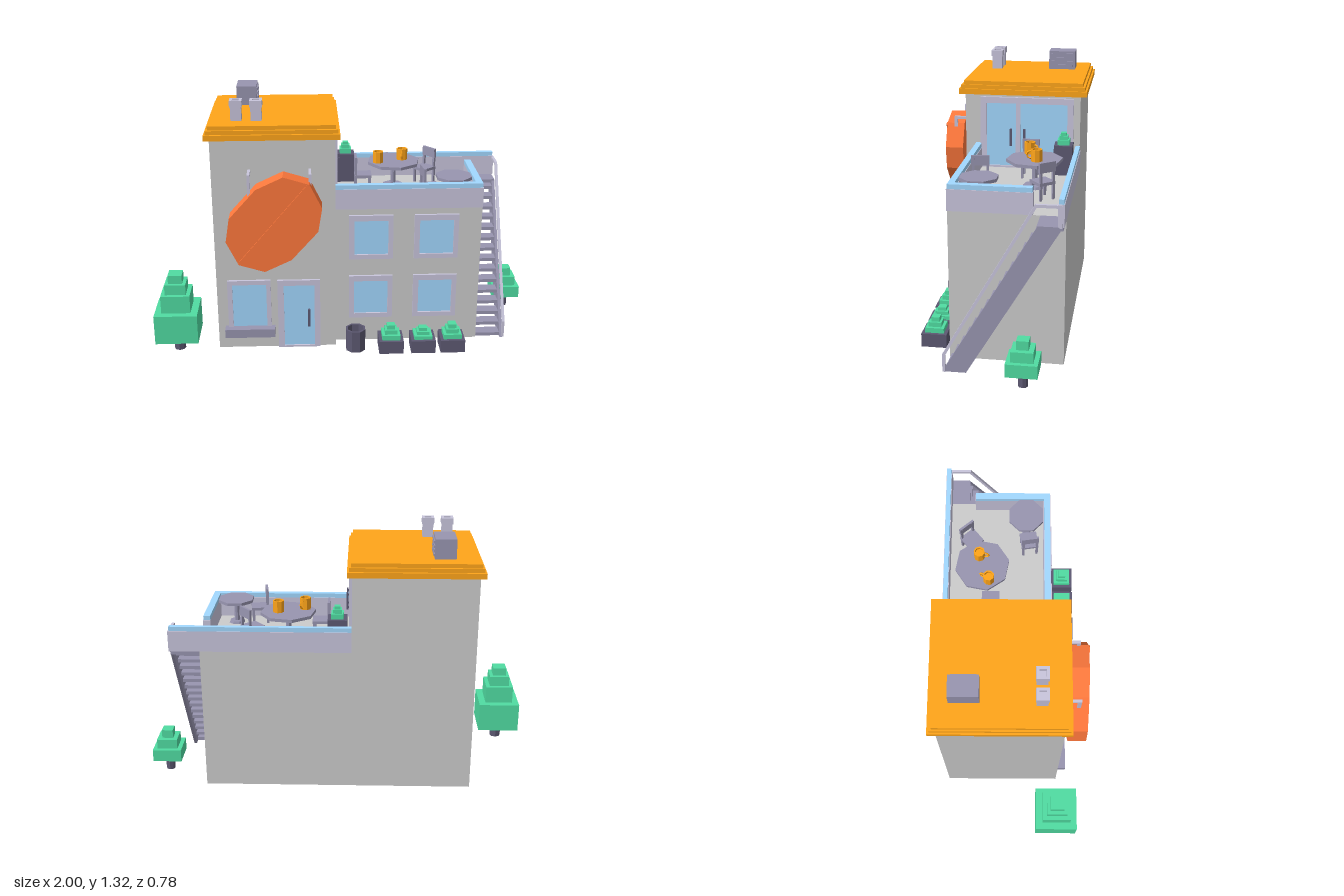
import * as THREE from 'three';

const mat = (color) => new THREE.MeshStandardMaterial({ color, flatShading: true });
const GREY = mat(0xcccccc), ORANGE = mat(0xffa51a), SIGN = mat(0xff783c), GREEN = mat(0x50dca2);
const BLUE = mat(0xa2d8ff), PURPLE = mat(0x9895b0), LAVENDER = mat(0xc8c5dc), DARK = mat(0x5d5972);

function add(parent, name, geometry, material, x = 0, y = 0, z = 0) {
  const mesh = new THREE.Mesh(geometry, material);
  mesh.name = name;
  mesh.position.set(x, y, z);
  parent.add(mesh);
  return mesh;
}

function group(parent, name, x = 0, y = 0, z = 0, ry = 0) {
  const g = new THREE.Group();
  g.name = name;
  g.position.set(x, y, z);
  g.rotation.y = ry;
  parent.add(g);
  return g;
}

// Box given by its extents on each axis
function box(parent, name, material, [x0, x1], [y0, y1], [z0, z1]) {
  return add(parent, name, new THREE.BoxGeometry(x1 - x0, y1 - y0, z1 - z0), material,
    (x0 + x1) / 2, (y0 + y1) / 2, (z0 + z1) / 2);
}

// Square bar between two points
function bar(parent, name, a, b, t, material) {
  const p = new THREE.Vector3(...a), d = new THREE.Vector3(...b).sub(p);
  const m = add(parent, name, new THREE.BoxGeometry(t, t, d.length() + t * 0.6), material);
  m.position.copy(p).addScaledVector(d, 0.5);
  m.quaternion.setFromUnitVectors(new THREE.Vector3(0, 0, 1), d.normalize());
  return m;
}

const poly = (pts) => new THREE.Shape(pts.map(([x, y]) => new THREE.Vector2(x, y)));
const rect = (x0, x1, y0, y1) => [[x0, y0], [x1, y0], [x1, y1], [x0, y1]];
const extrude = (shape, depth) => new THREE.ExtrudeGeometry(shape, { depth, bevelEnabled: false });

// Frame with a recessed pane, facing local +z; outer and inner are [x0, x1, y0, y1]
function pane(parent, name, outer, inner) {
  const g = group(parent, name);
  const shape = poly(rect(...outer));
  shape.holes.push(poly(rect(...inner)));
  add(g, 'frame', extrude(shape, 0.014), LAVENDER);
  box(g, 'glass', BLUE, inner.slice(0, 2), inner.slice(2), [0, 0.005]);
  return g;
}

function handle(parent, x, y0, y1) {
  const g = group(parent, 'doorHandle');
  box(g, 'grip', DARK, [x - 0.006, x + 0.006], [y0, y1], [0.022, 0.032]);
  for (const y of [y0 + 0.012, y1 - 0.012]) {
    box(g, 'mount', DARK, [x - 0.004, x + 0.004], [y - 0.005, y + 0.005], [0, 0.024]);
  }
}

// Stacked square foliage; tiers are [width, top]
function foliage(parent, base, tiers) {
  let y = base;
  for (const [w, top] of tiers) {
    box(parent, 'foliage', GREEN, [-w / 2, w / 2], [y, top], [-w / 2, w / 2]);
    y = top;
  }
}

function tree(parent, x, z, r, base, tiers) {
  const g = group(parent, 'tree', x, 0, z);
  add(g, 'trunk', new THREE.CylinderGeometry(r, r, base, 8), DARK, 0, base / 2, 0);
  foliage(g, base, tiers);
}

function planter(parent, x, y, z, w, h, tiers) {
  const g = group(parent, 'planter', x, y, z);
  box(g, 'pot', DARK, [-w / 2, w / 2], [0, h], [-w / 2, w / 2]);
  foliage(g, h, tiers);
}

function table(parent, x, z, r, h, ry) {
  const g = group(parent, 'table', x, 0.755, z, ry);
  add(g, 'tableTop', new THREE.CylinderGeometry(r, r, 0.016, 8), PURPLE, 0, h - 0.008, 0);
  add(g, 'tableStem', new THREE.CylinderGeometry(0.014, 0.014, h - 0.01, 8), PURPLE, 0, h / 2 - 0.005, 0);
  add(g, 'tableFoot', new THREE.CylinderGeometry(r * 0.4, r * 0.45, 0.012, 8), PURPLE, 0, 0.006, 0);
}

// Chair facing local +x
function chair(parent, x, z, ry) {
  const g = group(parent, 'chair', x, 0.755, z, ry);
  box(g, 'seat', PURPLE, [-0.045, 0.045], [0.075, 0.09], [-0.045, 0.045]);
  for (const s of [-1, 1]) {
    const zz = [s * 0.036 - 0.006, s * 0.036 + 0.006];
    box(g, 'frontLeg', PURPLE, [0.03, 0.042], [0, 0.08], zz);
    box(g, 'backLeg', PURPLE, [-0.045, -0.033], [0, 0.185], zz);
  }
  box(g, 'backRest', PURPLE, [-0.046, -0.034], [0.14, 0.19], [-0.045, 0.045]);
}

function mug(parent, x, z, ry) {
  const g = group(parent, 'mug', x, 0.903, z, ry);
  const wall = [[0, 0], [0.029, 0], [0.029, 0.06], [0.022, 0.06], [0.022, 0.045], [0, 0.045]];
  add(g, 'cup', new THREE.LatheGeometry(wall.map((p) => new THREE.Vector2(...p)), 8), ORANGE);
  add(g, 'mugHandle', new THREE.TorusGeometry(0.018, 0.005, 4, 8), ORANGE, 0.032, 0.03, 0);
}

export function createModel() {
  const model = new THREE.Group();
  model.name = 'cafeBuilding';

  // Main volumes
  box(model, 'tower', GREY, [-0.68, -0.06], [0, 1.155], [-0.355, 0.256]);
  box(model, 'wing', GREY, [-0.06, 0.7], [0, 0.755], [-0.355, 0.202]);
  box(model, 'roofLower', ORANGE, [-0.705, -0.036], [1.152, 1.18], [-0.388, 0.288]);
  box(model, 'roofMiddle', ORANGE, [-0.695, -0.046], [1.18, 1.2], [-0.377, 0.277]);
  box(model, 'roofUpper', ORANGE, [-0.685, -0.056], [1.2, 1.22], [-0.365, 0.264]);

  // Parapet walls with blue caps
  const walls = [[[-0.06, 0.7], [0.168, 0.205]], [[0.664, 0.702], [-0.2, 0.205]], [[-0.06, 0.85], [-0.36, -0.33]]];
  for (const [xs, zs] of walls) {
    box(model, 'parapet', LAVENDER, xs, [0.755, 0.862], zs);
    box(model, 'parapetCap', BLUE, [xs[0], xs[1] - 0.003], [0.862, 0.885], [zs[0] + 0.003, zs[1] - 0.003]);
  }

  // Wing windows
  const wingFront = group(model, 'wingFront', 0, 0, 0.202);
  for (const x of [0.01, 0.35]) for (const y of [0.14, 0.48]) {
    pane(wingFront, 'window', [x, x + 0.23, y, y + 0.243], [x + 0.028, x + 0.205, y + 0.025, y + 0.213]);
  }

  // Tower front window and door
  const towerFront = group(model, 'towerFront', 0, 0, 0.256);
  pane(towerFront, 'shopWindow', [-0.625, -0.4, 0.1, 0.392], [-0.6, -0.423, 0.12, 0.368]);
  box(towerFront, 'windowSill', PURPLE, [-0.643, -0.382], [0.08, 0.127], [0, 0.05]);
  pane(towerFront, 'frontDoor', [-0.365, -0.143, 0, 0.39], [-0.333, -0.173, 0.01, 0.36]);
  handle(towerFront, -0.202, 0.13, 0.228);

  // Terrace double door on the tower's side
  const terraceDoor = group(model, 'terraceDoor', -0.06, 0, 0, Math.PI / 2);
  pane(terraceDoor, 'doubleDoor', [-0.175, 0.32, 0.755, 1.138], [-0.142, 0.288, 0.765, 1.106]);
  box(terraceDoor, 'mullion', LAVENDER, [0.014, 0.038], [0.765, 1.106], [0, 0.01]);
  handle(terraceDoor, -0.01, 0.88, 0.972);
  handle(terraceDoor, 0.062, 0.88, 0.972);

  // Hanging sign: a stretched ten-sided slab, symmetric about its middle
  const sign = group(model, 'hangingSign', -0.37, 0.745, 0.29);
  const half = [[0.05, 0.25], [-0.085, 0.187], [-0.22, 0.037], [-0.24, -0.086], [-0.18, -0.21]];
  add(sign, 'signBoard', extrude(poly([...half, ...half.map(([x, y]) => [-x, -y])]), 0.096), SIGN);
  const ridge = add(sign, 'signRidge', new THREE.BoxGeometry(0.54, 0.02, 0.012), SIGN, 0, 0, 0.096);
  ridge.rotation.z = Math.atan2(0.21, 0.18);
  for (const [x, y] of [[-0.49, 0.84], [-0.188, 0.935]]) {
    box(model, 'signBracketArm', LAVENDER, [x - 0.007, x + 0.007], [0.98, 0.995], [0.256, 0.345]);
    box(model, 'signBracketDrop', LAVENDER, [x - 0.007, x + 0.007], [y, 0.985], [0.327, 0.345]);
  }

  // Chimneys and vent unit
  for (const x of [-0.55, -0.45]) {
    const c = group(model, 'chimney', x, 1.22, 0.145);
    box(c, 'stack', LAVENDER, [-0.027, 0.027], [0, 0.075], [-0.027, 0.027]);
    const cap = poly(rect(-0.031, 0.031, -0.031, 0.031));
    cap.holes.push(poly(rect(-0.017, 0.017, -0.017, 0.017)));
    add(c, 'chimneyCap', extrude(cap, 0.033), LAVENDER, 0, 0.07, 0).rotation.x = -Math.PI / 2;
  }
  box(model, 'ventUnit', PURPLE, [-0.565, -0.46], [1.22, 1.32], [-0.29, -0.145]);
  for (let i = 0; i < 4; i++) {
    const y = 1.233 + i * 0.021;
    box(model, 'ventSlat', PURPLE, [-0.462, -0.454], [y, y + 0.012], [-0.278, -0.157]);
  }

  // Outside stair: treads, landing, stringer and handrail
  const stair = group(model, 'outsideStair');
  for (let i = 0; i < 15; i++) {
    const y = 0.02 + i * 0.05, z = 0.205 - y * 0.595;
    box(stair, 'tread', PURPLE, [0.7, 0.835], [y - 0.018, y], [z - 0.065, z]);
  }
  box(stair, 'landing', PURPLE, [0.7, 0.845], [0.737, 0.755], [-0.355, -0.235]);
  const side = add(stair, 'stringer', extrude(poly([[-0.21, 0], [-0.095, 0], [0.354, 0.755], [0.24, 0.755]]), 0.015), PURPLE, 0.832, 0, 0);
  side.rotation.y = Math.PI / 2;
  const rail = [[0.2, 0], [0.2, 0.09], [-0.232, 0.852], [-0.345, 0.852], [-0.345, 0.755]];
  for (let i = 1; i < rail.length; i++) {
    const [a, b] = [rail[i - 1], rail[i]];
    bar(stair, 'handrail', [0.848, a[1] + (i === 1 ? 0.006 : 0), a[0]], [0.848, b[1], b[0]], 0.014, LAVENDER);
  }

  // Terrace furniture
  table(model, 0.268, -0.155, 0.143, 0.148, 0.2);
  table(model, 0.565, 0.075, 0.097, 0.135, 0.4);
  chair(model, 0.1, -0.11, 0);
  chair(model, 0.445, -0.215, Math.PI * 1.22);
  chair(model, 0.44, 0.09, 0.15);
  mug(model, 0.182, -0.12, 1.1);
  mug(model, 0.316, -0.17, -1.7);

  // Plants and bin
  planter(model, 0.012, 0.755, -0.277, 0.096, 0.158, [[0.062, 0.185], [0.045, 0.205], [0.03, 0.22]]);
  [0.228, 0.397, 0.552].forEach((x, i) => {
    const k = i === 1 ? 0.75 : 1;
    planter(model, x, 0, 0.302, 0.128, 0.07,
      [[0.095, 0.07 + 0.026 * k], [0.065, 0.07 + 0.05 * k], [0.042, 0.07 + 0.073 * k]]);
  });
  tree(model, -0.89, 0.248, 0.03, 0.082, [[0.222, 0.24], [0.15, 0.335], [0.108, 0.39], [0.072, 0.435]]);
  tree(model, 0.925, -0.188, 0.024, 0.078, [[0.15, 0.143], [0.106, 0.195], [0.058, 0.24]]);
  const binWall = [[0, 0], [0.054, 0], [0.054, 0.12], [0.043, 0.12], [0.043, 0.02], [0, 0.02]];
  add(model, 'bin', new THREE.LatheGeometry(binWall.map((p) => new THREE.Vector2(...p)), 8, Math.PI / 8), DARK, 0.042, 0, 0.297);

  return model;
}
